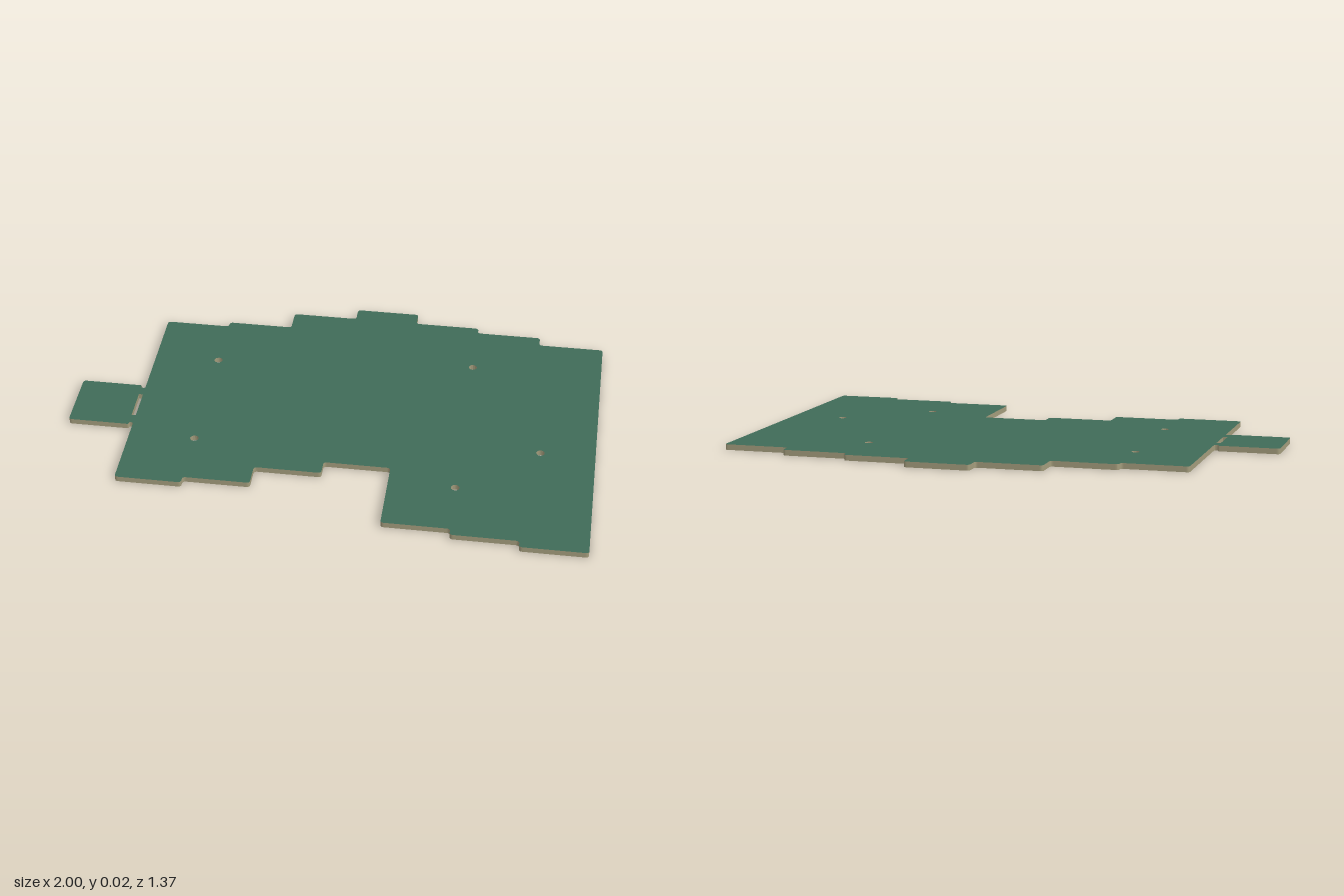
import * as THREE from 'three';

const THICKNESS = 0.021;

// Stepped outline as [x, z] corners, including the breakaway tab on the -x side
const OUTLINE = [
  [-0.752, -0.502], [-0.503, -0.502], [-0.503, -0.53], [-0.252, -0.53], [-0.252, -0.625],
  [0, -0.625], [0, -0.688], [0.247, -0.688], [0.247, -0.625], [0.498, -0.625],
  [0.498, -0.593], [0.748, -0.593], [0.748, -0.544], [1, -0.544], [1, 0.684],
  [0.752, 0.684], [0.752, 0.652], [0.502, 0.652], [0.502, 0.62], [0.25, 0.62],
  [0.25, 0.308], [0, 0.308], [0, 0.372], [-0.252, 0.372], [-0.252, 0.465],
  [-0.503, 0.465], [-0.503, 0.497], [-0.752, 0.497], [-0.752, 0.17], [-0.768, 0.17],
  [-0.768, 0.182], [-1, 0.182], [-1, -0.065], [-0.768, -0.065], [-0.768, -0.05], [-0.752, -0.05],
];

const SCREW_HOLES = [[-0.503, -0.27], [-0.503, 0.233], [0.498, -0.36], [0.795, 0.143], [0.498, 0.388]];

// Closed outline with every corner rounded, limited by the shorter neighbouring edge
function roundedShape(corners, radius) {
  const pts = corners.map(([x, z]) => new THREE.Vector2(x, z));
  const shape = new THREE.Shape();
  pts.forEach((p, i) => {
    const prev = pts[(i + pts.length - 1) % pts.length];
    const next = pts[(i + 1) % pts.length];
    const r = Math.min(radius, 0.45 * p.distanceTo(prev), 0.45 * p.distanceTo(next));
    const a = p.clone().add(prev.clone().sub(p).setLength(r));
    const b = p.clone().add(next.clone().sub(p).setLength(r));
    if (i === 0) shape.moveTo(a.x, a.y);
    else shape.lineTo(a.x, a.y);
    shape.quadraticCurveTo(p.x, p.y, b.x, b.y);
  });
  shape.closePath();
  return shape;
}

export function createModel() {
  const group = new THREE.Group();
  group.name = 'circuitBoard';

  const shape = roundedShape(OUTLINE, 0.013);

  // Screw holes
  for (const [x, z] of SCREW_HOLES) {
    const hole = new THREE.Path();
    hole.absarc(x, z, 0.016, 0, Math.PI * 2, true);
    shape.holes.push(hole);
  }

  // Slot between the board and its breakaway tab
  const slot = new THREE.Path();
  slot.setFromPoints([[-0.768, -0.008], [-0.768, 0.125], [-0.752, 0.125], [-0.752, -0.008]]
    .map(([x, z]) => new THREE.Vector2(x, z)));
  slot.closePath();
  shape.holes.push(slot);

  // Lay the plate flat: shape y becomes z, depth runs downwards
  const geometry = new THREE.ExtrudeGeometry(shape, { depth: THICKNESS, bevelEnabled: false, curveSegments: 6 });
  geometry.rotateX(Math.PI / 2);
  geometry.translate(0, THICKNESS, 0);

  // Green faces, bare fibre edges
  const faces = new THREE.MeshStandardMaterial({ color: 0x3f6b58 });
  const edges = new THREE.MeshStandardMaterial({ color: 0xa39c7c });
  const board = new THREE.Mesh(geometry, [faces, edges]);
  board.name = 'boardPlate';
  group.add(board);
  return group;
}
